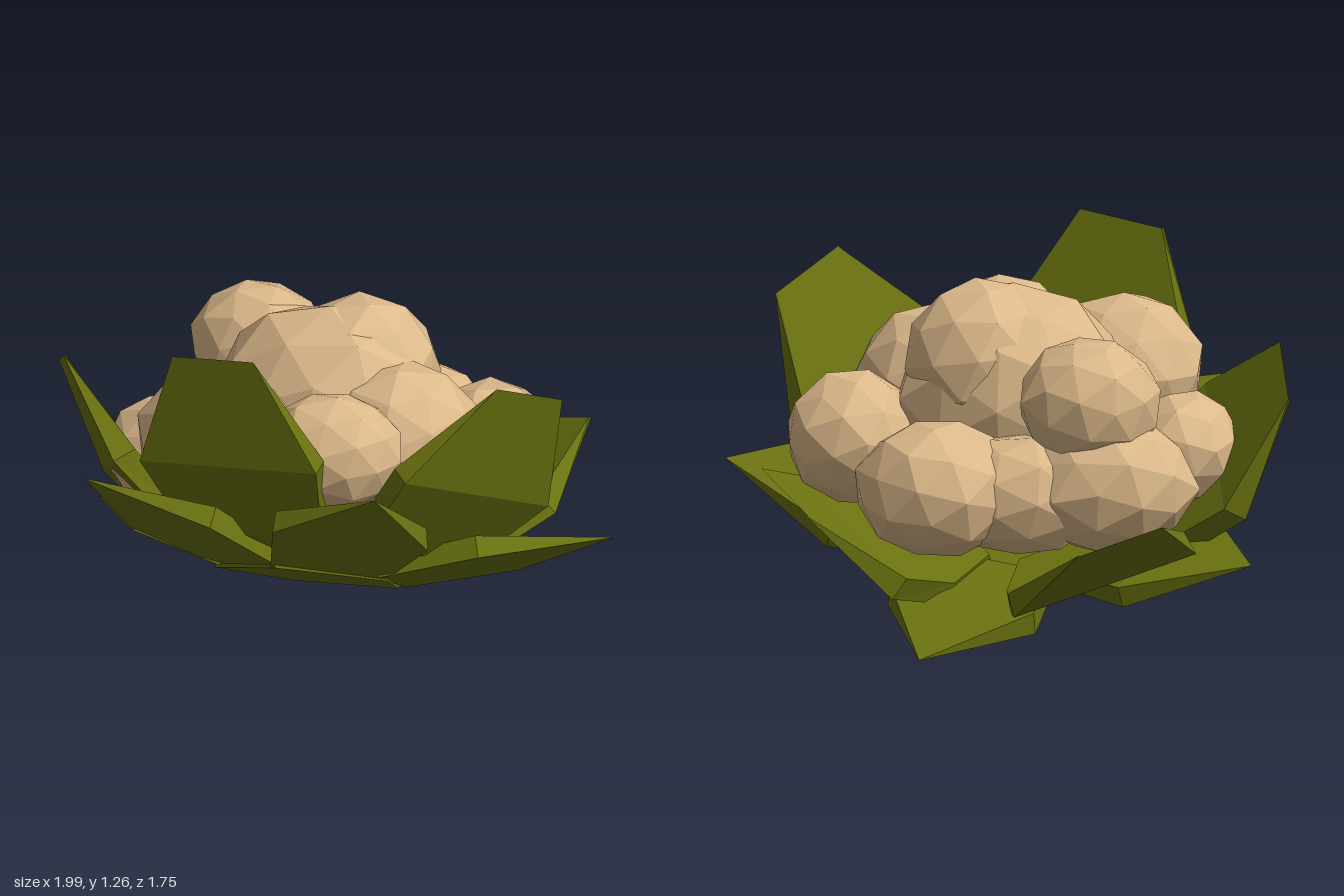
import * as THREE from 'three';

const leafMat = new THREE.MeshStandardMaterial({ color: 0x6b7210, flatShading: true });
const curdMat = new THREE.MeshStandardMaterial({ color: 0xdcb98a, flatShading: true });

// Solid leaf along +x. Stations: [radius, height, halfWidth, inward offset, upward offset]
function leafGeometry(stations) {
  const pos = [], index = [];
  stations.forEach(([r, y, h, dr, dy], i) => {
    pos.push(r, y, -h, r, y, h, r - dr, y + dy, h * 0.97, r - dr, y + dy, -h * 0.97);
    if (i === 0) return;
    const a = (i - 1) * 4, b = i * 4;
    for (let j = 0; j < 4; j++) {
      const k = (j + 1) % 4;
      index.push(a + j, b + j, b + k, a + j, b + k, a + k);
    }
  });
  const indexed = new THREE.BufferGeometry();
  indexed.setAttribute('position', new THREE.Float32BufferAttribute(pos, 3));
  indexed.setIndex(index);
  const geo = indexed.toNonIndexed();
  geo.computeVertexNormals();
  return geo;
}

const broadLeaf = leafGeometry([
  [0.22, 0.03, 0.12, 0, 0.05],
  [0.48, 0.09, 0.26, 0.04, 0.07],
  [0.735, 0.3, 0.338, 0.07, 0.05],
  [0.935, 0.65, 0.155, 0.005, 0.0],
]);
const pointedLeaf = leafGeometry([
  [0.26, 0.0, 0.2, 0, 0.07],
  [0.6, 0.095, 0.27, 0.02, 0.075],
  [0.97, 0.22, 0.002, 0, 0.002],
]);

// Faceted floret: [x, y, z, rx, ry, rz]
const florets = [
  [-0.03, 0.79, -0.04, 0.4, 0.37, 0.33],
  [0.06, 0.91, -0.09, 0.27, 0.27, 0.26],
  [0.25, 0.79, 0.13, 0.28, 0.25, 0.24],
  [0.5, 0.64, -0.17, 0.225, 0.225, 0.24],
  [0.16, 0.54, -0.46, 0.28, 0.23, 0.26],
  [-0.12, 0.52, -0.42, 0.28, 0.21, 0.2],
  [-0.41, 0.56, -0.37, 0.3, 0.24, 0.25],
  [-0.35, 0.84, -0.38, 0.24, 0.22, 0.21],
  [-0.6, 0.6, 0.03, 0.19, 0.19, 0.2],
  [-0.35, 0.8, 0.32, 0.27, 0.26, 0.23],
  [0.09, 0.87, 0.46, 0.23, 0.2, 0.19],
];

// Gently uneven faceted ball; equal corners move alike, so it stays closed
function floretGeometry(seed) {
  const geo = new THREE.IcosahedronGeometry(1.02, 1).rotateY(seed * 1.3).rotateX(seed * 0.7);
  const p = geo.attributes.position, v = new THREE.Vector3();
  for (let i = 0; i < p.count; i++) {
    v.fromBufferAttribute(p, i);
    v.multiplyScalar(1 + 0.045 * Math.sin(5 * v.x + seed) * Math.cos(4 * v.y + 6 * v.z));
    p.setXYZ(i, v.x, v.y, v.z);
  }
  return geo;
}

export function createModel() {
  const model = new THREE.Group();
  model.name = 'cauliflower';

  // Leaf cup, tilted up at the front
  const cup = new THREE.Group();
  cup.name = 'leafCup';
  cup.position.set(-0.04, 0.26, 0.185);
  cup.rotation.x = -0.5;
  model.add(cup);

  // Leaf at an angle around the cup, slid sideways by shift
  const addLeaf = (geo, name, degrees, scale, shift = 0) => {
    const leaf = new THREE.Mesh(geo, leafMat);
    const angle = THREE.MathUtils.degToRad(degrees);
    leaf.name = name;
    leaf.rotation.y = -angle;
    leaf.position.set(-Math.sin(angle) * shift, 0, Math.cos(angle) * shift);
    leaf.scale.x = scale;
    cup.add(leaf);
  };
  // Outer pointed leaves alternate with tall broad ones
  [[3, 1.06], [68, 1.0], [139.5, 0.95], [205, 0.96], [283, 0.99]]
    .forEach(([d, s]) => addLeaf(pointedLeaf, 'pointedLeaf', d, s));
  [[35, 1.03], [106, 0.97], [166, 0.99, 0.1], [238, 0.98], [320, 0.98]]
    .forEach(([d, s, shift]) => addLeaf(broadLeaf, 'broadLeaf', d, s, shift));

  // Five-sided base joining the leaves
  const base = new THREE.Mesh(new THREE.CylinderGeometry(0.35, 0.335, 0.06, 5), leafMat);
  base.name = 'leafBase';
  base.position.y = 0.025;
  base.rotation.y = -0.21;
  cup.add(base);

  // Florets
  const curd = new THREE.Group();
  curd.name = 'curd';
  florets.forEach(([x, y, z, rx, ry, rz], i) => {
    const geo = floretGeometry(i).scale(rx, ry, rz);
    geo.computeVertexNormals();
    const floret = new THREE.Mesh(geo, curdMat);
    floret.name = 'floret';
    floret.position.set(x, y, z);
    curd.add(floret);
  });
  model.add(curd);
  return model;
}
